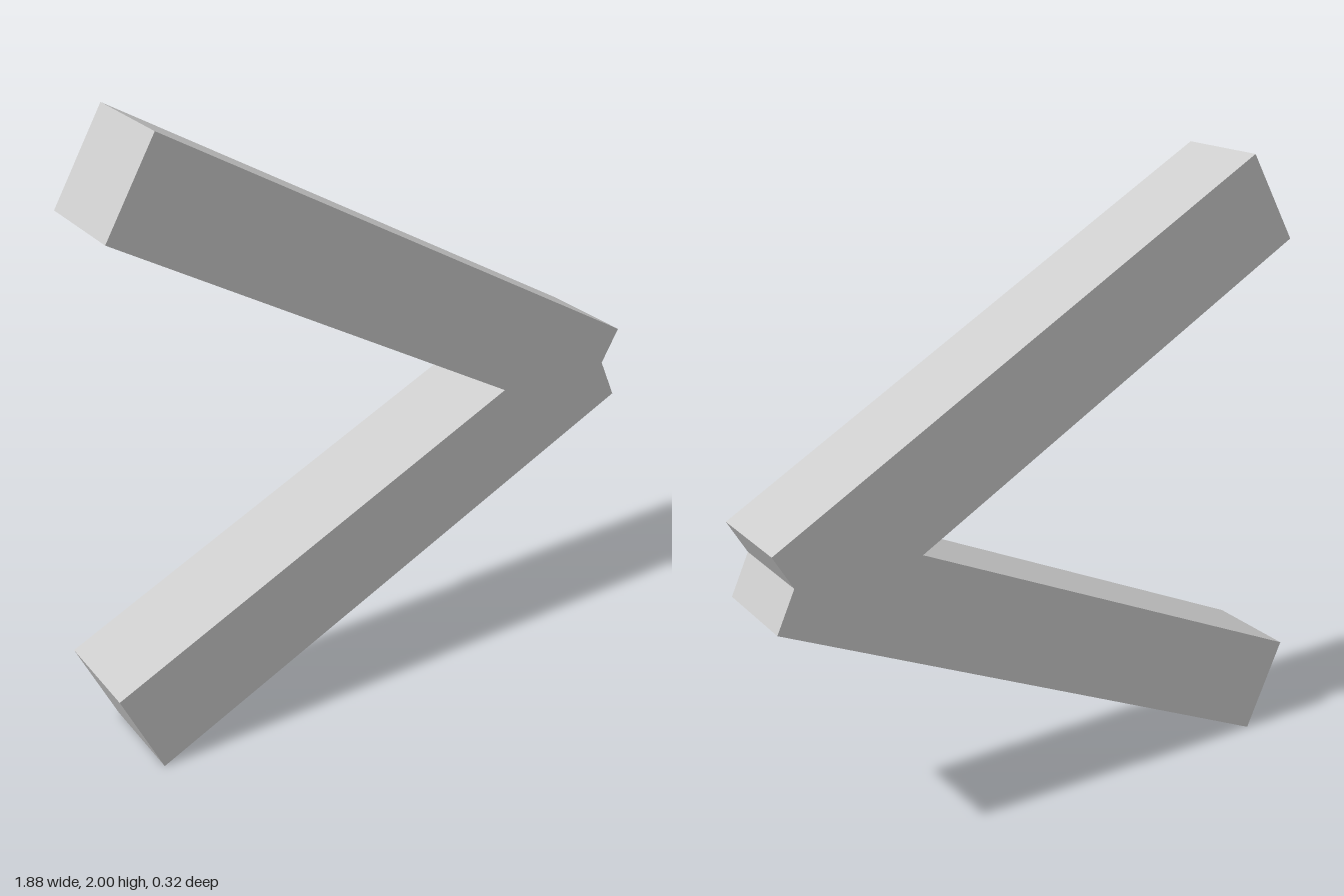
import * as THREE from 'three';

export function createModel() {
  const group = new THREE.Group();
  const depth = 0.32;

  // Outline of two square bars meeting in a notched corner
  const outline = [
    [-0.81, 0], [0.937, 0.802], [0.878, 0.932], [0.94, 1.04],
    [-0.722, 2], [-0.882, 1.722], [0.468, 0.941], [-0.942, 0.294],
  ].map(([x, y]) => new THREE.Vector2(x, y));

  const geometry = new THREE.ExtrudeGeometry(new THREE.Shape(outline), { depth, bevelEnabled: false });
  geometry.translate(0, 0, -depth / 2);

  const chevron = new THREE.Mesh(
    geometry,
    new THREE.MeshStandardMaterial({ color: 0xcccccc, flatShading: true })
  );
  chevron.name = 'chevronBars';
  group.add(chevron);
  return group;
}
